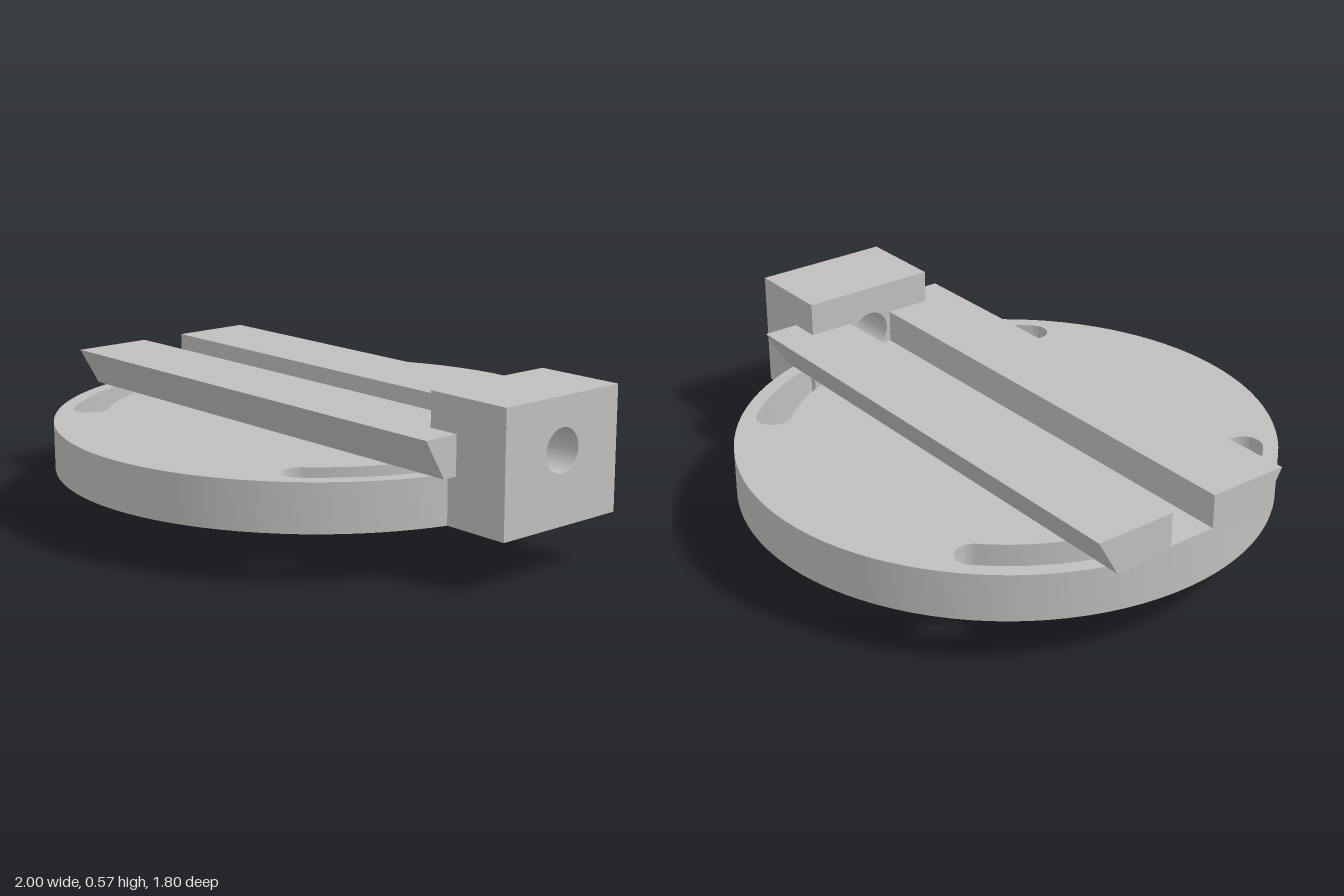
import * as THREE from 'three';
import { toCreasedNormals } from 'three/addons/utils/BufferGeometryUtils.js';

const steel = new THREE.MeshStandardMaterial({ color: 0xbfbfbf });
steel.name = 'grey steel';

const DISC_X = -0.1, DISC_BOTTOM = 0.17, DISC_TOP = 0.33;
const RAIL_TOP = 0.46, BLOCK_BACK = 0.69, GROOVE = 0.085;

function extrude(shape, depth, curveSegments = 32) {
  const geo = new THREE.ExtrudeGeometry(shape, { depth, bevelEnabled: false, curveSegments });
  return toCreasedNormals(geo, 0.5);
}

// Extrude a (z, y) profile along x; the profile's first axis becomes -z
function extrudeAlongX(shape, x0, x1) {
  return extrude(shape, x1 - x0).rotateY(Math.PI / 2).translate(x0, 0, 0);
}

function polygon(points) {
  return new THREE.Shape(points.map(([x, y]) => new THREE.Vector2(x, y)));
}

// Curved slot with round ends, spanning 45 degrees each side of the mid angle
function slotPath(mid, radius, half) {
  const a0 = mid - Math.PI / 4, a1 = mid + Math.PI / 4;
  const path = new THREE.Path();
  path.absarc(0, 0, radius + half, a0, a1, false);
  path.absarc(radius * Math.cos(a1), radius * Math.sin(a1), half, a1, a1 + Math.PI, false);
  path.absarc(0, 0, radius - half, a1, a0, true);
  path.absarc(radius * Math.cos(a0), radius * Math.sin(a0), half, a0 + Math.PI, a0 + Math.PI * 2, false);
  return path;
}

export function createModel() {
  const group = new THREE.Group();
  group.name = 'swivelSlideBase';
  const add = (name, geo) => {
    const mesh = new THREE.Mesh(geo, steel);
    mesh.name = name;
    group.add(mesh);
  };

  // Round base with two arc slots
  const disc = new THREE.Shape();
  disc.absarc(0, 0, 0.9, 0, Math.PI * 2, false);
  for (const mid of [0, Math.PI]) disc.holes.push(slotPath(mid, 0.79, 0.06));
  add('swivelDisc', extrude(disc, DISC_TOP - DISC_BOTTOM, 48)
    .rotateX(-Math.PI / 2).translate(DISC_X, DISC_BOTTOM, 0));

  // Pivot pin underneath
  add('pivotPin', new THREE.CylinderGeometry(0.1, 0.1, DISC_BOTTOM, 48)
    .translate(DISC_X, DISC_BOTTOM / 2, 0));

  // Dovetail rails, mirrored either side of the groove
  for (const s of [1, -1]) {
    const profile = polygon([
      [s * GROOVE, DISC_TOP], [s * 0.295, DISC_TOP], [s * 0.37, RAIL_TOP], [s * GROOVE, RAIL_TOP],
    ]);
    add(s > 0 ? 'backRail' : 'frontRail', extrudeAlongX(profile, -1, 0.8));
  }

  // Thin web joining the rails at the bottom of the groove
  const floorLength = BLOCK_BACK + 1;
  add('grooveFloor', new THREE.BoxGeometry(floorLength, 0.016, GROOVE * 2)
    .translate(-1 + floorLength / 2, DISC_TOP + 0.008, 0));

  // End block with a bore for the lead screw
  const block = polygon([[-0.245, DISC_BOTTOM], [0.245, DISC_BOTTOM], [0.245, 0.575], [-0.245, 0.575]]);
  const bore = new THREE.Path();
  bore.absarc(0, 0.407, 0.071, 0, Math.PI * 2, true);
  block.holes.push(bore);
  add('screwBlock', extrudeAlongX(block, BLOCK_BACK, 1));

  return group;
}
